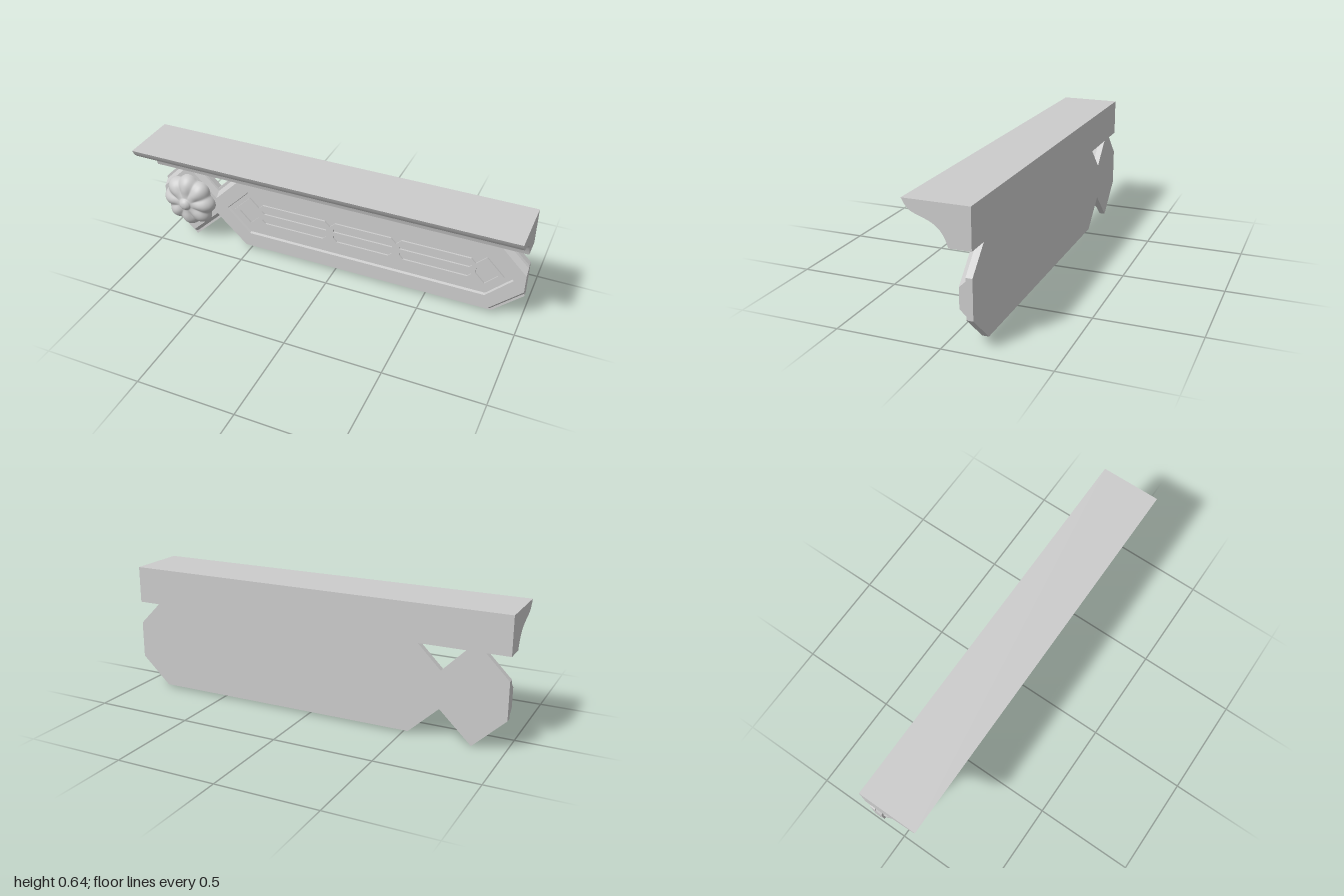
import * as THREE from 'three';
import { toCreasedNormals } from 'three/addons/utils/BufferGeometryUtils.js';

const BACK = -0.153, STEP = -0.122, FACE = -0.092, FLOOR = -0.106;
const CY = 0.25, CX = 0.163; // centre of the long panel
const mat = new THREE.MeshStandardMaterial({ color: 0xcccccc });

function add(group, name, geometry) {
  const mesh = new THREE.Mesh(geometry, mat);
  mesh.name = name;
  group.add(mesh);
  return mesh;
}
const toShape = pts => new THREE.Shape(pts.map(p => new THREE.Vector2(p[0], p[1])));

// Flat-faced walls between successive counter-clockwise rings { pts, z }
function loft(rings) {
  const pos = [];
  for (let k = 0; k + 1 < rings.length; k++) {
    const A = rings[k], B = rings[k + 1], n = A.pts.length;
    for (let i = 0; i < n; i++) {
      const j = (i + 1) % n;
      const a = [...A.pts[i], A.z], b = [...A.pts[j], A.z];
      const c = [...B.pts[j], B.z], d = [...B.pts[i], B.z];
      pos.push(...a, ...b, ...c, ...a, ...c, ...d);
    }
  }
  const g = new THREE.BufferGeometry();
  g.setAttribute('position', new THREE.Float32BufferAttribute(pos, 3));
  g.computeVertexNormals();
  return g;
}

// Board outline (clipped diamond + long panel), inset by d on its sloping edges
function outline(d) {
  const k = d * Math.SQRT2, top = 0.455, up = 0.34 - k, lo = 0.153 + k;
  const run = top - up;               // 45 degree run up to the cornice
  const tip = Math.min(top, 0.5 - k); // top of the diamond
  const half = Math.max(0.0005, 0.16 - (tip - up));
  return [
    [-1, lo], [-0.84, k], [-0.68, lo],
    [-0.53 + 0.414 * d, 0.013 + d], [0.85 - 0.414 * d, 0.013 + d],
    [1, lo], [1, up], [1 - run, top], [-0.68 + run, top],
    [-0.68, up], [-0.84 + half, tip], [-0.84 - half, tip], [-1, up],
  ];
}

// Elongated hexagon of the sunk field
const hexagon = (hw, hh) => [
  [CX - hw, CY - hh], [CX + hw, CY - hh], [CX + hw + hh, CY],
  [CX + hw, CY + hh], [CX - hw, CY + hh], [CX - hw - hh, CY],
];

// Raised flat strip following a closed outline
function ribFrame(outer, inner) {
  const shape = toShape(outer);
  shape.holes.push(toShape(inner));
  const g = new THREE.ExtrudeGeometry(shape, { depth: 0.009, bevelEnabled: false });
  return g.translate(0, 0, FLOOR);
}
const octagon = (x0, x1, hh, c) => [
  [x0 + c, CY - hh], [x1 - c, CY - hh], [x1, CY - hh + c], [x1, CY + hh - c],
  [x1 - c, CY + hh], [x0 + c, CY + hh], [x0, CY + hh - c], [x0, CY - hh + c],
];
const diamond = (x, r) => [[x, CY - r], [x + r, CY], [x, CY + r], [x - r, CY]];

// Eight-lobed flower with a central bud
function rosetteGeometry() {
  const profile = new THREE.SplineCurve([
    [0.152, 0], [0.15, 0.02], [0.138, 0.042], [0.115, 0.06], [0.085, 0.068], [0.055, 0.067],
    [0.036, 0.068], [0.029, 0.077], [0.016, 0.087], [0, 0.09],
  ].map(p => new THREE.Vector2(...p))).getPoints(36);
  profile.forEach(p => { p.x = Math.max(0, p.x); });
  const g = new THREE.LatheGeometry(profile, 128);
  const p = g.attributes.position;
  for (let i = 0; i < p.count; i++) {
    const x = p.getX(i), y = p.getY(i), z = p.getZ(i);
    const r = Math.hypot(x, z), t = Math.atan2(x, z);
    const valley = 1 - Math.sqrt(0.03 + 0.97 * Math.cos(4 * t) ** 2);
    const fade = THREE.MathUtils.smoothstep(r, 0.03, 0.09);
    const s = 1 - 0.13 * valley * fade;
    p.setXYZ(i, x * s, y * (1 - 0.2 * valley * fade), z * s);
  }
  g.computeVertexNormals();
  return g.rotateX(Math.PI / 2).translate(-0.84, 0.253, FACE);
}

export function createModel() {
  const model = new THREE.Group();
  model.name = 'corniceWithPanel';

  // Cornice: moulded profile run along the full width (shape x = -z)
  const s = new THREE.Shape();
  s.moveTo(-BACK, 0.455);
  s.lineTo(-BACK, 0.643);
  s.lineTo(-0.153, 0.643);
  s.bezierCurveTo(-0.142, 0.622, -0.132, 0.603, -0.113, 0.592);
  s.bezierCurveTo(-0.07, 0.57, -0.025, 0.566, 0.008, 0.533);
  s.bezierCurveTo(0.03, 0.513, 0.042, 0.485, 0.05, 0.455);
  s.closePath();
  const cornice = new THREE.ExtrudeGeometry(s, { depth: 2, bevelEnabled: false, curveSegments: 14 });
  cornice.rotateY(Math.PI / 2).translate(-1, 0, 0);
  add(model, 'cornice', toCreasedNormals(cornice, 0.5));

  // Backboard with a ledge and a bevelled rim
  const board = new THREE.Group();
  board.name = 'backboard';
  model.add(board);
  const rim = outline(0.032), base = outline(0);
  add(board, 'boardEdges', loft([
    { pts: base, z: BACK }, { pts: base, z: STEP },
    { pts: outline(0.012), z: STEP }, { pts: rim, z: FACE },
  ]));
  const face = toShape(rim), field = hexagon(0.65, 0.13);
  face.holes.push(toShape(field));
  add(board, 'boardFace', new THREE.ShapeGeometry(face).translate(0, 0, FACE));
  add(board, 'boardBack', new THREE.ShapeGeometry(toShape(base)).rotateY(Math.PI)
    .scale(1, 1, 1).translate(0, 0, BACK)).visible = true;
  // mirror the outline so the turned back matches the front
  const back = board.children[board.children.length - 1];
  back.geometry = new THREE.ShapeGeometry(toShape(base.map(([x, y]) => [-x, y]).reverse()))
    .rotateY(Math.PI).translate(0, 0, BACK);

  // Sunk field in the long panel
  const floor = hexagon(0.648, 0.126);
  add(board, 'fieldWalls', loft([{ pts: field, z: FACE }, { pts: floor, z: FLOOR }]));
  add(board, 'fieldFloor', new THREE.ShapeGeometry(toShape(floor)).translate(0, 0, FLOOR));

  // Strapwork: three long frames with centre rails, and a diamond at each end
  const ribs = new THREE.Group();
  ribs.name = 'strapwork';
  model.add(ribs);
  const xs = [-0.433, -0.021, 0.34, 0.754], w = 0.02;
  for (let i = 0; i < 3; i++) {
    const a = xs[i], b = xs[i + 1];
    add(ribs, 'longFrame', ribFrame(octagon(a, b, 0.066, 0.028), octagon(a + w, b - w, 0.066 - w, 0.02)));
    add(ribs, 'centreRail', new THREE.BoxGeometry(b - a - 2 * w, 0.024, 0.009)
      .translate((a + b) / 2, CY, FLOOR + 0.0045));
  }
  for (const x of [-0.48, 0.802])
    add(ribs, 'endDiamond', ribFrame(diamond(x, 0.094), diamond(x, 0.064)));

  // Flower on the small diamond
  add(model, 'rosette', rosetteGeometry());
  return model;
}
